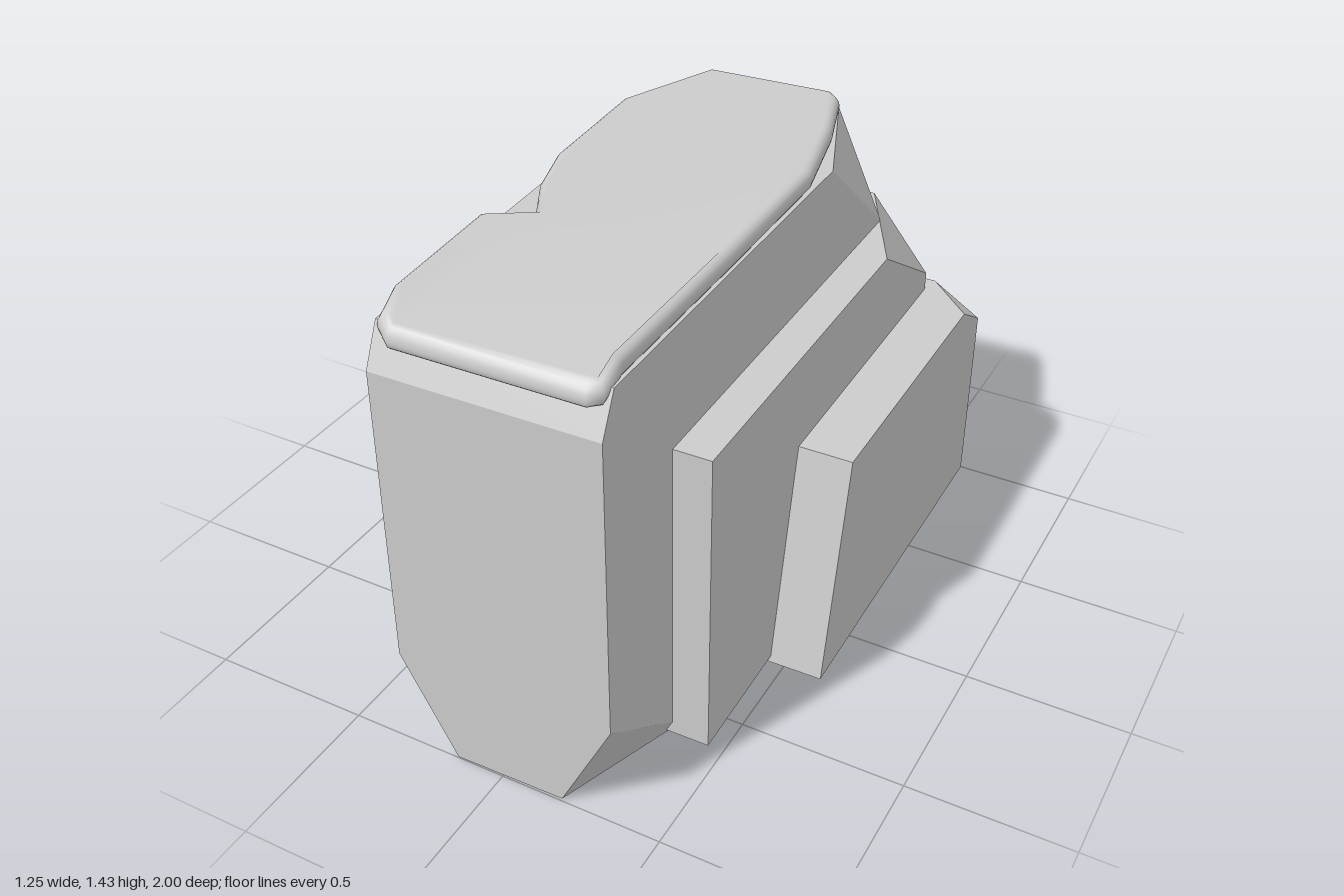
import * as THREE from 'three';
import { ConvexGeometry } from 'three/addons/geometries/ConvexGeometry.js';
import { mergeVertices } from 'three/addons/utils/BufferGeometryUtils.js';

const material = () => new THREE.MeshStandardMaterial({ color: 0xcccccc });

// Chipped block. Corners run back -x, back +x, front +x, front -x; 0-3 bottom, 4-7 top.
// cuts: corner index -> distances cut along the x, z and vertical edges (0 = none).
function rock(name, y0, y1, bottom, top, cuts) {
  const corners = [
    ...bottom.map(([x, z]) => new THREE.Vector3(x, y0, z)),
    ...top.map(([x, z]) => new THREE.Vector3(x, y1, z)),
  ];
  const points = [];
  corners.forEach((c, i) => {
    if (!cuts[i]) return points.push(c);
    [1, 3, 4].forEach((bit, k) => {
      const d = cuts[i][k];
      const n = corners[i ^ bit];
      if (d > 0) points.push(c.clone().lerp(n, d / c.distanceTo(n)));
    });
  });
  const mesh = new THREE.Mesh(new ConvexGeometry(points), material());
  mesh.name = name;
  return mesh;
}

// Soft rounded pad from an (x, z) outline, drooping in front of z = droopZ.
function moss(name, outline, y, thick, round, droopZ, slope) {
  const shape = new THREE.Shape(outline.map(([x, z]) => new THREE.Vector2(x, -z)));
  let g = new THREE.ExtrudeGeometry(shape, {
    depth: thick - 2 * round, bevelEnabled: true, bevelSegments: 4,
    bevelSize: round, bevelThickness: round, bevelOffset: -round,
  });
  g.rotateX(-Math.PI / 2).translate(0, y + round, 0);
  const p = g.attributes.position;
  for (let i = 0; i < p.count; i++) {
    p.setY(i, p.getY(i) - slope * Math.max(0, p.getZ(i) - droopZ));
  }
  g.deleteAttribute('normal');
  g.deleteAttribute('uv');
  g = mergeVertices(g, 1e-4);
  g.computeVertexNormals();
  const mesh = new THREE.Mesh(g, material());
  mesh.name = name;
  return mesh;
}

export function createModel() {
  const group = new THREE.Group();
  group.name = 'mossyRock';

  // Three nested slabs, tallest in the middle
  const tall = [[-0.39, -0.74], [0.33, -0.76], [0.35, 0.99], [-0.32, 1.0]];
  const middle = [[-0.45, -0.92], [0.44, -0.93], [0.46, 0.64], [-0.44, 0.65]];
  const lowBottom = [[-0.62, -0.98], [0.61, -1.0], [0.62, 0.22], [-0.61, 0.24]];
  const lowTop = [[-0.62, -0.98], [0.61, -1.0], [0.62, 0.08], [-0.61, 0.09]];
  group.add(
    rock('tallRock', 0, 1.37, tall, tall, {
      2: [0.16, 0.43, 0.32], 3: [0.17, 0.43, 0.32],
      4: [0.13, 0.34, 0.18], 5: [0.16, 0.42, 0.35],
      6: [0, 0.06, 0.12], 7: [0, 0.06, 0.12],
    }),
    rock('middleRock', 0.02, 1.015, middle, middle, {
      3: [0.14, 0.1, 0.13], 4: [0.08, 0.17, 0.08],
      5: [0.2, 0.39, 0.245], 7: [0.14, 0.1, 0.15],
    }),
    rock('lowRock', 0, 0.71, lowBottom, lowTop, {
      4: [0.17, 0.17, 0.12], 5: [0.16, 0.16, 0.1], 7: [0.17, 0.09, 0.1],
    }),
  );

  // Moss pads on the top and on the -x ledges
  group.add(
    moss('topMoss', [
      [-0.26, -0.73], [0.15, -0.75], [0.19, -0.71], [0.26, -0.5], [0.33, -0.2], [0.34, 0.3],
      [0.345, 0.88], [0.34, 0.96], [0.3, 0.98], [-0.26, 0.985], [-0.31, 0.95], [-0.33, 0.85],
      [-0.355, 0.43], [-0.23, 0.35], [-0.31, 0.2], [-0.365, 0.02], [-0.39, -0.4],
    ], 1.362, 0.064, 0.028, 0.88, 0.5),
    moss('middleMoss', [
      [-0.45, -0.45], [-0.42, -0.47], [-0.39, -0.43], [-0.37, 0.1], [-0.36, 0.45], [-0.355, 0.55],
      [-0.36, 0.64], [-0.4, 0.665], [-0.455, 0.65], [-0.46, 0.55], [-0.45, 0.45], [-0.455, 0],
    ], 0.985, 0.08, 0.028, 0.5, 0.55),
    moss('lowMoss', [
      [-0.62, -0.67], [-0.59, -0.685], [-0.48, -0.67], [-0.46, -0.63], [-0.455, -0.3], [-0.455, -0.02],
      [-0.47, 0.09], [-0.53, 0.135], [-0.6, 0.1], [-0.615, 0.05], [-0.625, -0.05], [-0.625, -0.3],
    ], 0.685, 0.085, 0.032, -0.01, 0.5),
  );
  return group;
}
